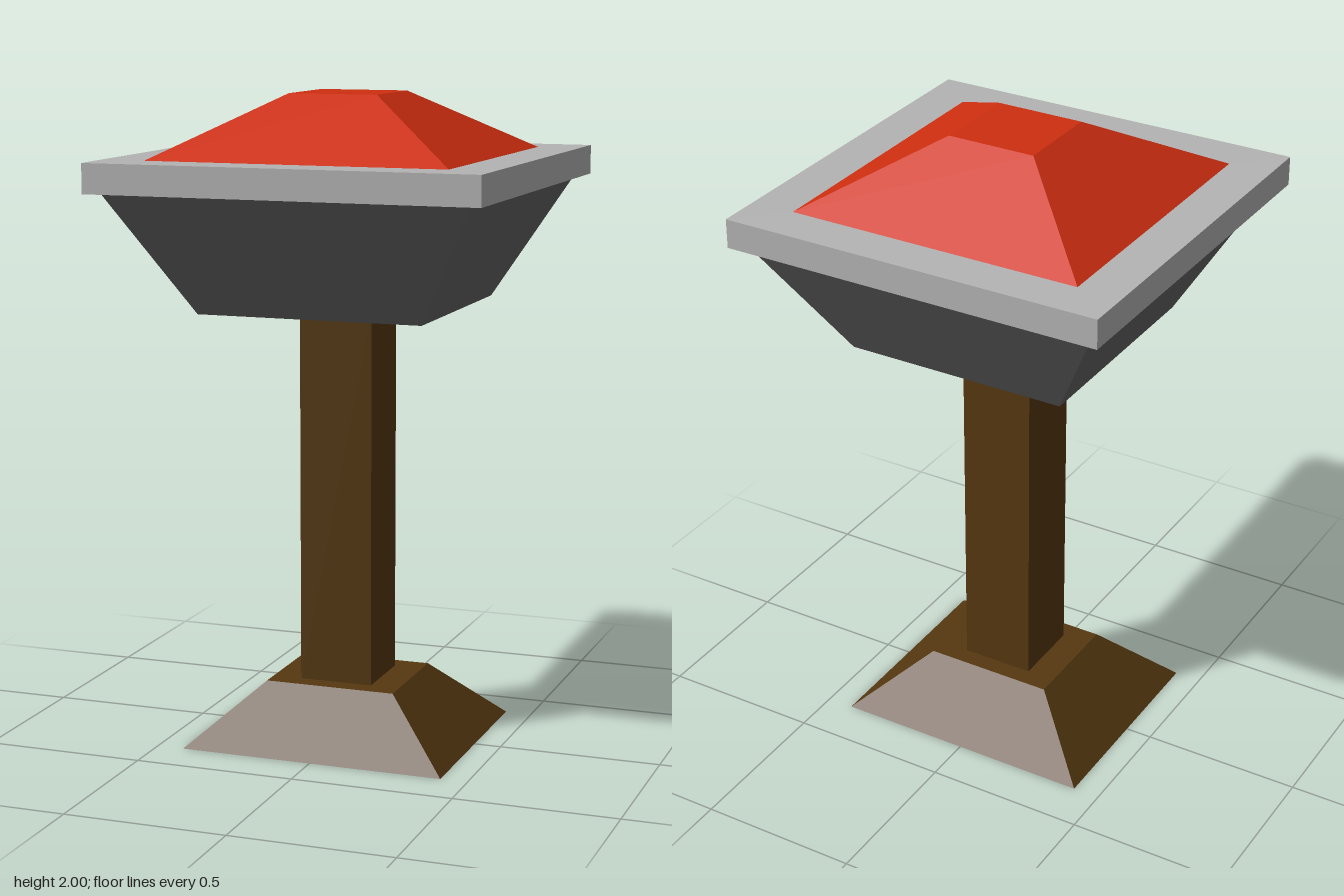
import * as THREE from 'three';

const material = (name, color) => {
  const m = new THREE.MeshStandardMaterial({ color });
  m.name = name;
  return m;
};

// Four-sided block whose top half-widths differ from its bottom half-widths
function taperedBlock(name, mat, y0, y1, [bx, bz], [tx, tz]) {
  const geo = new THREE.BoxGeometry(2, y1 - y0, 2).translate(0, (y0 + y1) / 2, 0);
  const p = geo.attributes.position;
  const middle = (y0 + y1) / 2;
  for (let i = 0; i < p.count; i++) {
    const top = p.getY(i) > middle;
    p.setX(i, p.getX(i) * (top ? tx : bx));
    p.setZ(i, p.getZ(i) * (top ? tz : bz));
  }
  geo.computeVertexNormals();
  const mesh = new THREE.Mesh(geo, mat);
  mesh.name = name;
  return mesh;
}

export function createModel() {
  const wood = material('brown wood', 0x553810);
  const darkGrey = material('dark grey', 0x666666);
  const lightGrey = material('light grey', 0xb4b4b4);
  const red = material('red', 0xcf2e10);

  const group = new THREE.Group();
  group.name = 'pedestalButton';
  group.add(
    // Stand: oblong foot and square post
    taperedBlock('foot', wood, 0, 0.19, [0.416, 0.35], [0.206, 0.174]),
    taperedBlock('post', wood, 0.19, 1.355, [0.115, 0.115], [0.115, 0.115]),
    // Head: flared housing, overhanging rim and push button
    taperedBlock('housing', darkGrey, 1.355, 1.725, [0.35, 0.35], [0.56, 0.56]),
    taperedBlock('rim', lightGrey, 1.725, 1.815, [0.6, 0.6], [0.6, 0.6]),
    taperedBlock('button', red, 1.815, 2, [0.464, 0.464], [0.139, 0.139]),
  );
  return group;
}
